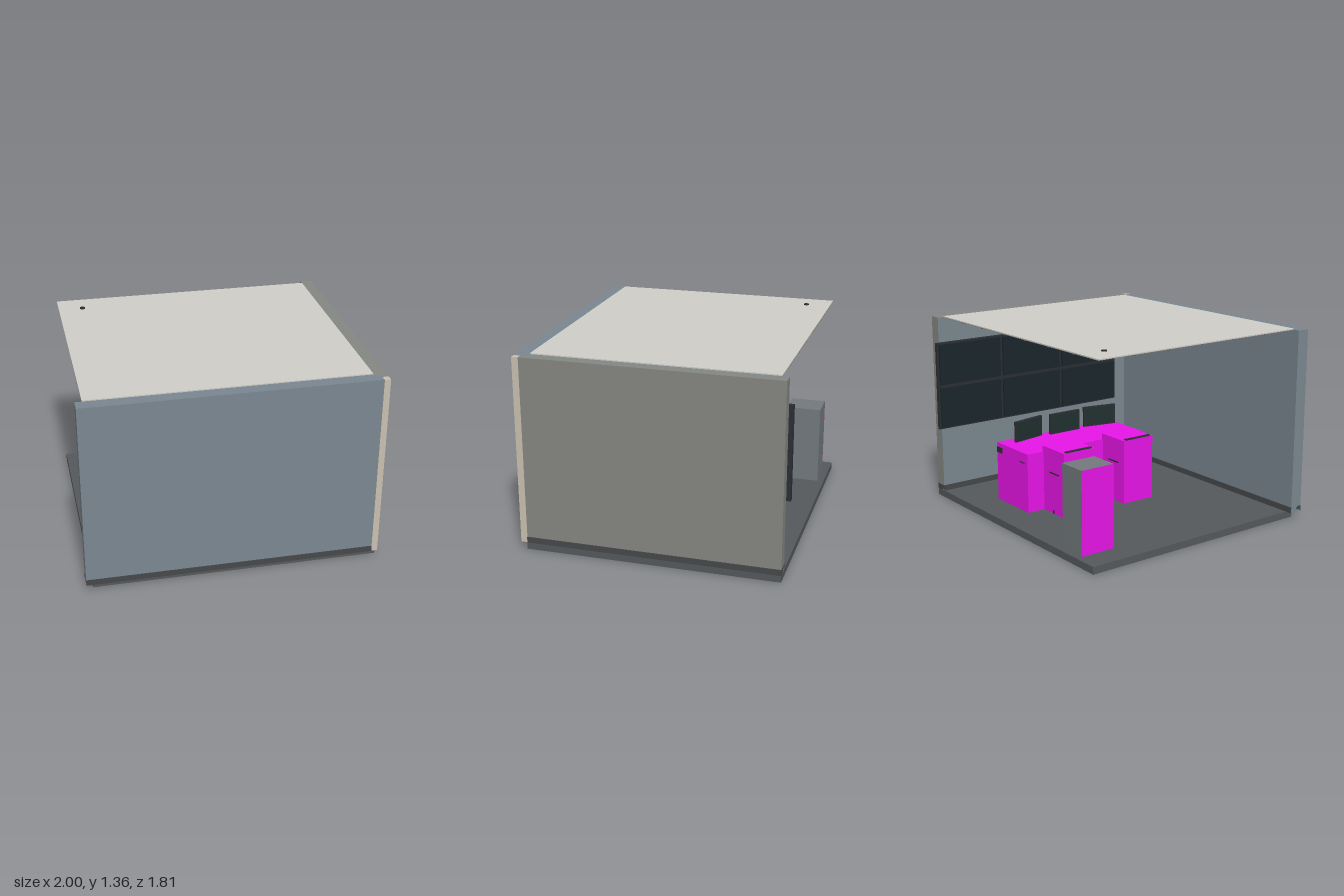
import * as THREE from 'three';

const mat = (color) => new THREE.MeshStandardMaterial({ color });
const M = {
  wall: mat(0x7a8790), outer: mat(0x858781), post: mat(0xc8c0b0), floor: mat(0x55595b),
  skirting: mat(0x45484a), ceiling: mat(0xd0cdc8), tile: mat(0x85807b), seam: mat(0x5c5a57),
  lamp: mat(0xa39d92), dark: mat(0x2c2f33), screen: mat(0x1b262b), monitor: mat(0x20302f),
  magenta: mat(0xe815e8), column: mat(0x72797d),
};

// Box given by its lower and upper bounds on each axis
function box(parent, name, material, [x0, x1], [y0, y1], [z0, z1]) {
  const mesh = new THREE.Mesh(new THREE.BoxGeometry(x1 - x0, y1 - y0, z1 - z0), material);
  mesh.position.set((x0 + x1) / 2, (y0 + y1) / 2, (z0 + z1) / 2);
  mesh.name = name;
  parent.add(mesh);
  return mesh;
}

function group(parent, name) {
  const g = new THREE.Group();
  g.name = name;
  parent.add(g);
  return g;
}

function buildShell(root) {
  const g = group(root, 'roomShell');
  box(g, 'floor', M.floor, [-0.955, 0.99], [0, 0.05], [-0.875, 0.86]);
  box(g, 'frontWall', M.wall, [-1, 0.95], [0.05, 1.345], [0.81, 0.9]);
  box(g, 'sideWall', M.outer, [0.915, 0.99], [0.05, 1.345], [-0.875, 0.857]);
  box(g, 'sideWallLining', M.wall, [0.905, 0.915], [0.05, 1.345], [-0.875, 0.81]);
  box(g, 'cornerPost', M.post, [0.95, 0.992], [0.05, 1.345], [0.857, 0.902]);
  box(g, 'frontSkirting', M.skirting, [-1, 0.95], [0.05, 0.09], [0.803, 0.904]);
  box(g, 'sideSkirting', M.skirting, [0.898, 0.996], [0.05, 0.09], [-0.875, 0.857]);
}

function buildCeiling(root) {
  const g = group(root, 'ceiling');
  const x0 = -0.955, x1 = 0.905, z0 = -0.83, z1 = 0.81;
  box(g, 'ceilingSlab', M.ceiling, [x0, x1], [1.345, 1.352], [z0, z1]);
  box(g, 'ceilingUnderside', M.tile, [x0, x1], [1.342, 1.345], [z0, z1]);
  // Grid of seams between the ceiling tiles
  const nx = 7, nz = 6, w = 0.008;
  for (let i = 1; i < nx; i++) {
    const x = x0 + (x1 - x0) * i / nx;
    box(g, 'tileSeam', M.seam, [x - w, x + w], [1.338, 1.342], [z0, z1]);
  }
  for (let i = 1; i < nz; i++) {
    const z = z0 + (z1 - z0) * i / nz;
    box(g, 'tileSeam', M.seam, [x0, x1], [1.338, 1.342], [z - w, z + w]);
  }
  // Flat lamps in a pair
  for (const x of [-0.35, 0.3]) {
    box(g, 'lampFrame', M.seam, [x - 0.22, x + 0.22], [1.337, 1.342], [-0.14, 0.08]);
    box(g, 'lampPanel', M.lamp, [x - 0.21, x + 0.21], [1.334, 1.338], [-0.13, 0.07]);
  }
  // Dome camera with its mount passing through the slab
  const mount = new THREE.Mesh(new THREE.CylinderGeometry(0.018, 0.018, 0.028, 20), M.dark);
  mount.position.set(-0.785, 1.345, -0.66);
  mount.name = 'cameraMount';
  const dome = new THREE.Mesh(new THREE.SphereGeometry(0.018, 20, 10), M.dark);
  dome.position.set(-0.785, 1.331, -0.66);
  dome.name = 'cameraDome';
  g.add(mount, dome);
}

function buildVideoWall(root) {
  const g = group(root, 'videoWall');
  const z0 = -0.905, z1 = 0.69, y0 = 0.53, y1 = 1.165, cols = 3, rows = 2;
  box(g, 'videoWallFrame', M.dark, [0.877, 0.905], [y0, y1], [z0, z1]);
  const dz = (z1 - z0) / cols, dy = (y1 - y0) / rows, e = 0.012;
  for (let c = 0; c < cols; c++) {
    for (let r = 0; r < rows; r++) {
      const z = z0 + c * dz, y = y0 + r * dy;
      box(g, 'videoPanel', M.screen, [0.862, 0.88], [y + e, y + dy - e], [z + e, z + dz - e]);
    }
  }
}

function buildMonitor(root, x, z, turn) {
  const g = group(root, 'monitor');
  box(g, 'monitorCase', M.dark, [-0.008, 0.012], [0.477, 0.627], [-0.13, 0.13]);
  box(g, 'monitorScreen', M.monitor, [-0.011, -0.007], [0.487, 0.618], [-0.121, 0.121]);
  box(g, 'monitorStand', M.dark, [0.012, 0.024], [0.47, 0.56], [-0.012, 0.012]);
  g.position.set(x, 0, z);
  g.rotation.y = turn;
}

function buildDesk(root) {
  const g = group(root, 'desk');
  box(g, 'deskBody', M.magenta, [0.113, 0.508], [0.05, 0.475], [-0.65, 0.363]);
  box(g, 'deskSlot', M.dark, [0.44, 0.506], [0.405, 0.445], [-0.654, -0.649]);
  box(g, 'deskSlot', M.dark, [0.15, 0.21], [0.4, 0.406], [-0.653, -0.649]);
  buildMonitor(g, 0.44, -0.425, 0.2);
  buildMonitor(g, 0.442, -0.107, 0);
  buildMonitor(g, 0.44, 0.21, -0.2);
}

function buildSeatBlock(root, z) {
  const g = group(root, 'seatBlock');
  box(g, 'seatBody', M.magenta, [-0.137, 0.125], [0.05, 0.515], [0, 0.257]);
  box(g, 'backrestTop', M.dark, [-0.134, -0.112], [0.505, 0.523], [0.02, 0.237]);
  for (const side of [-0.003, 0.256]) {
    box(g, 'armrestEdge', M.dark, [-0.07, 0.04], [0.338, 0.348], [side, side + 0.004]);
    box(g, 'footEdge', M.dark, [-0.012, 0.004], [0.05, 0.075], [side, side + 0.004]);
  }
  g.position.z = z;
}

function buildCabinet(root) {
  const g = group(root, 'tallCabinet');
  box(g, 'cabinetBody', M.column, [-0.774, -0.567], [0.05, 0.617], [-0.83, -0.58]);
  box(g, 'cabinetSidePanel', M.magenta, [-0.777, -0.773], [0.05, 0.616], [-0.83, -0.58]);
}

export function createModel() {
  const root = new THREE.Group();
  root.name = 'controlRoom';
  buildShell(root);
  buildCeiling(root);
  buildVideoWall(root);
  buildDesk(root);
  for (const z of [-0.516, 0]) buildSeatBlock(root, z);
  buildCabinet(root);
  return root;
}
